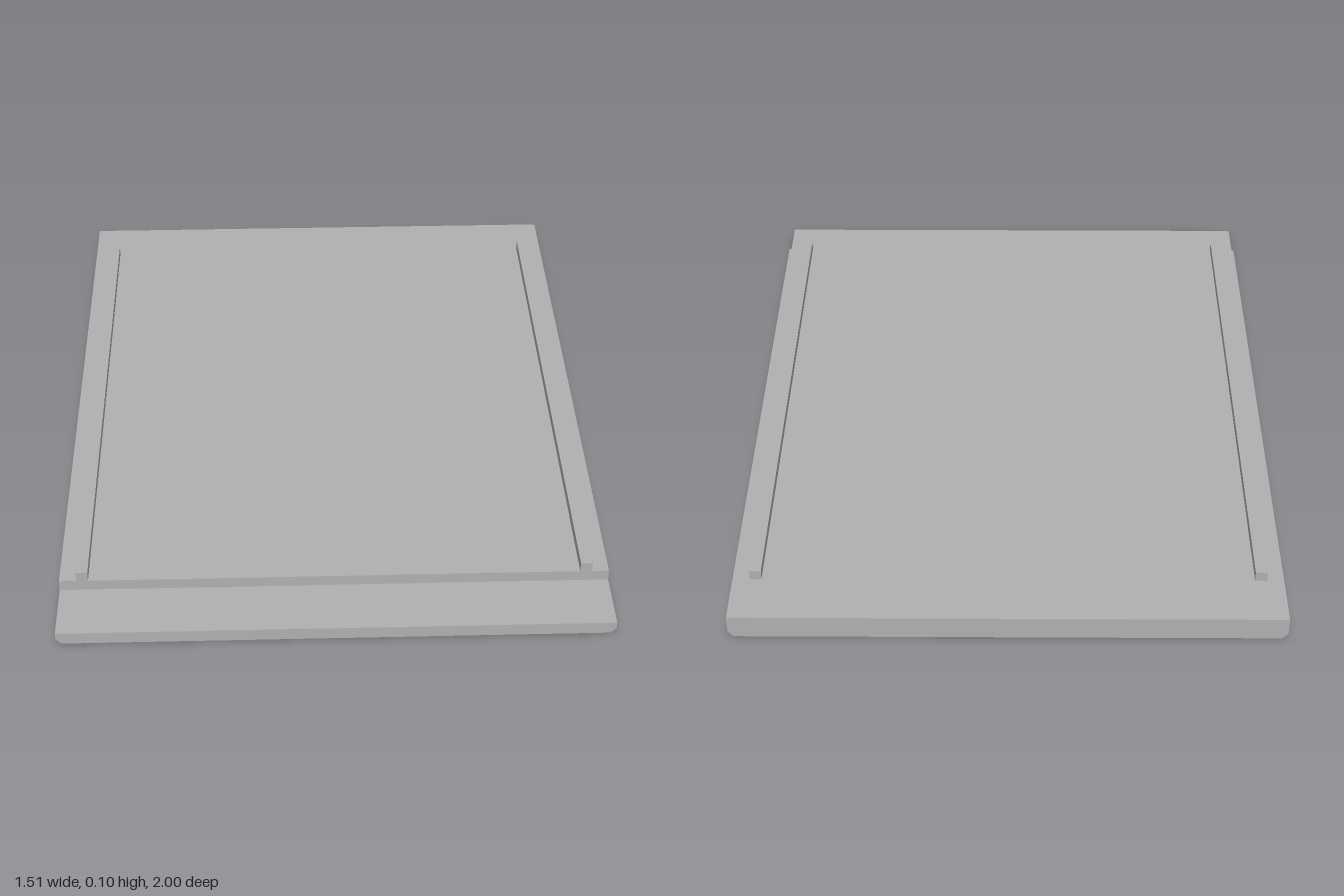
import * as THREE from 'three';

const HALF_WIDTH = 0.755;
const STEP_Z = 0.825; // where the raised deck meets the low front lip

// Slab with chamfered lower side edges, running from z0 to z1
function chamferedSlab(name, height, z0, z1, material) {
  const cx = 0.016, cy = 0.017;
  const profile = new THREE.Shape([
    new THREE.Vector2(-HALF_WIDTH + cx, 0),
    new THREE.Vector2(HALF_WIDTH - cx, 0),
    new THREE.Vector2(HALF_WIDTH, cy),
    new THREE.Vector2(HALF_WIDTH, height),
    new THREE.Vector2(-HALF_WIDTH, height),
    new THREE.Vector2(-HALF_WIDTH, cy),
  ]);
  const geometry = new THREE.ExtrudeGeometry(profile, { depth: z1 - z0, bevelEnabled: false });
  const mesh = new THREE.Mesh(geometry, material);
  mesh.name = name;
  mesh.position.z = z0;
  return mesh;
}

export function createModel() {
  const group = new THREE.Group();
  group.name = 'railedPlate';
  const grey = new THREE.MeshStandardMaterial({ color: 0xb0b0b0 });
  grey.name = 'plain grey';

  // Raised deck and the thinner lip in front of it
  group.add(chamferedSlab('deck', 0.068, -1, STEP_Z, grey));
  group.add(chamferedSlab('frontLip', 0.036, STEP_Z, 1, grey));

  // Guide rails along both sides, flush with the deck's front edge
  const railBack = -0.845, railBottom = 0.068, railTop = 0.097;
  for (const side of [-1, 1]) {
    const rail = new THREE.Mesh(
      new THREE.BoxGeometry(0.033, railTop - railBottom, STEP_Z - railBack), grey);
    rail.name = side > 0 ? 'leftRail' : 'rightRail';
    rail.position.set(side * 0.692, (railTop + railBottom) / 2, (STEP_Z + railBack) / 2);
    group.add(rail);
  }
  return group;
}
